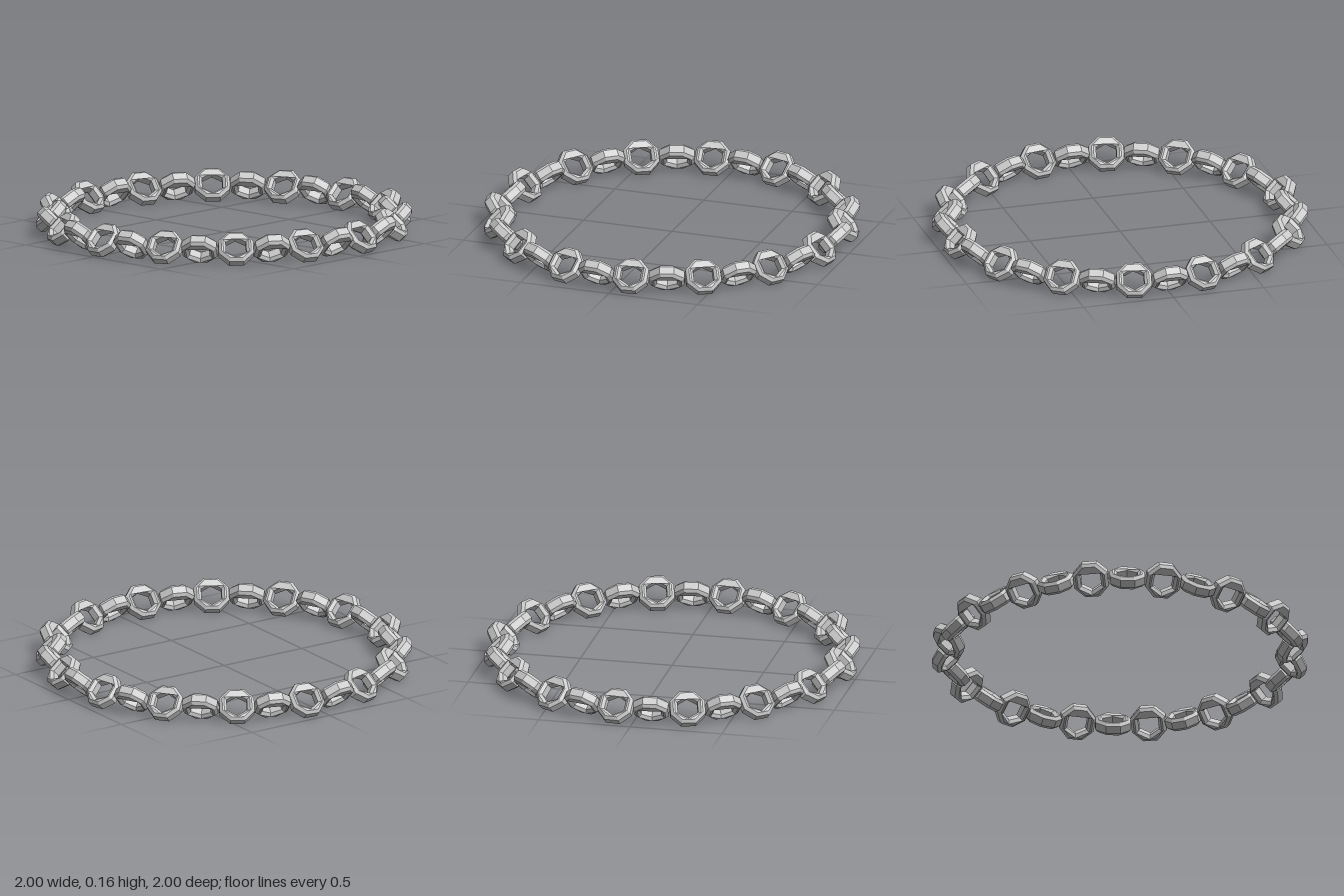
import * as THREE from 'three';

const LINKS = 30;
const RING_RADIUS = 0.92;

// Corners of a regular polygon, first corner half a step from the x axis
function polygon(sides, apothem) {
  const r = apothem / Math.cos(Math.PI / sides);
  return Array.from({ length: sides }, (_, i) => {
    const a = ((i + 0.5) * 2 * Math.PI) / sides;
    return new THREE.Vector2(r * Math.cos(a), r * Math.sin(a));
  });
}

// Bevelled octagonal link with a hexagonal hole
function linkGeometry() {
  const shape = new THREE.Shape(polygon(8, 0.0935));
  shape.holes.push(new THREE.Path(polygon(6, 0.054)));
  const geometry = new THREE.ExtrudeGeometry(shape, {
    depth: 0.04,
    bevelEnabled: true,
    bevelSize: 0.015,
    bevelOffset: -0.015,
    bevelThickness: 0.015,
    bevelSegments: 1,
  });
  geometry.translate(0, 0, -0.02);
  return geometry;
}

export function createModel() {
  const model = new THREE.Group();
  model.name = 'chainRing';
  const steel = new THREE.MeshStandardMaterial({ color: 0xcccccc, flatShading: true });
  steel.name = 'steelGrey';
  const geometry = linkGeometry();

  // Links around the circle, tilted alternately outward and inward
  for (let k = 0; k < LINKS; k++) {
    const angle = ((k + 0.5) * 2 * Math.PI) / LINKS;
    const link = new THREE.Mesh(geometry, steel);
    link.name = `chainLink${k + 1}`;
    link.position.set(RING_RADIUS * Math.sin(angle), 0.0803, RING_RADIUS * Math.cos(angle));
    link.rotation.set(k % 2 ? Math.PI / 4 : -Math.PI / 4, angle, 0, 'YXZ');
    model.add(link);
  }
  return model;
}
